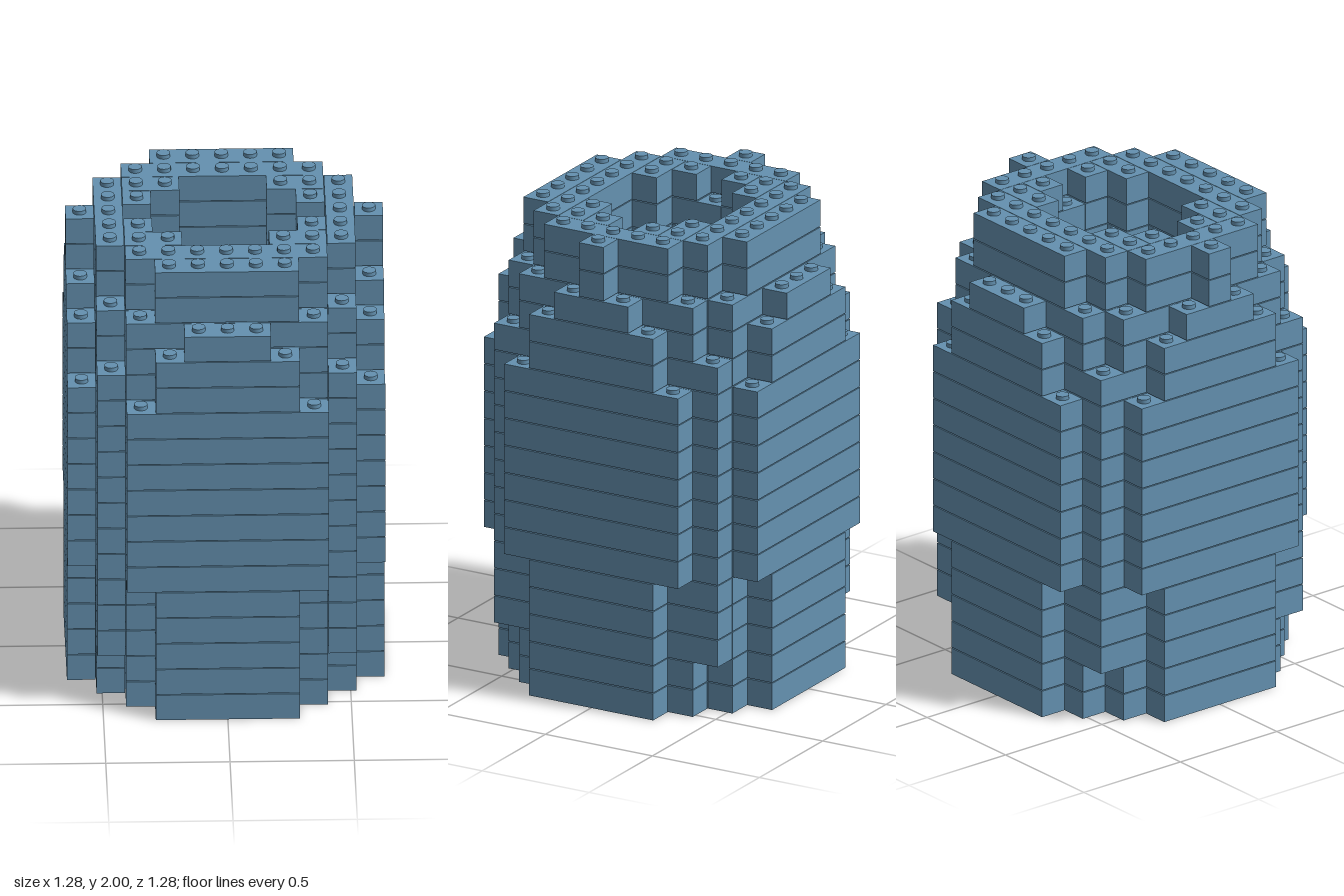
import * as THREE from 'three';
import { mergeGeometries } from 'three/addons/utils/BufferGeometryUtils.js';

const U = 1.28 / 11;      // one brick cell
const LAYERS = 17;
const H = 1.985 / LAYERS; // one course of bricks
const STUD = 0.015;
const R = 5;              // cells from centre to rim

// First and last+1 course of the outer wall at a cell, [0, 0] when outside
function span(i, j) {
  const a = Math.abs(i), b = Math.abs(j);
  const lo = Math.min(a, b), hi = Math.max(a, b);
  if (hi === 5) {
    if (lo === 0) return [0, a === 5 ? 17 : 15];
    return [[0, 0], [0, 15], [0, 14], [5, 12], [0, 0], [0, 0]][lo];
  }
  if (hi === 4) return lo === 4 ? [2, 13] : lo === 3 ? [0, 15] : [0, 17];
  return [0, 17];
}

// Hollow inside: wide belly above a solid floor, narrower neck
function hollow(i, j, k) {
  const a = Math.abs(i), b = Math.abs(j);
  if (k < 3) return false;
  if (k < 11) return a <= 3 && b <= 3 && a + b < 6;
  if (k === 16 && a === 3 && b === 0) return true;
  return a <= 2 && b <= 2 && a + b < 4;
}

function filled(i, j, k) {
  if (Math.abs(i) > R || Math.abs(j) > R || k >= LAYERS) return false;
  const [from, to] = span(i, j);
  return k >= from && k < to && !hollow(i, j, k);
}

// A brick covering cells i0..i1 and j0..j1
function brick(i0, i1, j0, j1, k) {
  const g = new THREE.BoxGeometry((i1 - i0 + 1) * U - 0.002, H - 0.004, (j1 - j0 + 1) * U - 0.002);
  return g.translate((i0 + i1) / 2 * U, (k + 0.5) * H, (j0 + j1) / 2 * U);
}

// Calls add(start, end) for every unbroken run of cells
function runs(min, max, test, add) {
  let start = null;
  for (let n = min; n <= max + 1; n++) {
    const on = n <= max && test(n);
    if (on && start === null) start = n;
    if (!on && start !== null) { add(start, n - 1); start = null; }
  }
}

export function createModel() {
  const group = new THREE.Group();
  const blue = new THREE.MeshStandardMaterial({ color: 0x6491b0 });
  blue.name = 'dusty blue';

  for (let k = 0; k < LAYERS; k++) {
    const bricks = [], studs = [];

    // Side bricks run front to back
    for (const i of [-5, -4, 4, 5]) {
      runs(-R, R, j => filled(i, j, k), (a, b) => bricks.push(brick(i, i, a, b, k)));
    }
    // The rest run left to right
    for (let j = -R; j <= R; j++) {
      runs(-3, 3, i => filled(i, j, k), (a, b) => bricks.push(brick(a, b, j, j, k)));
    }
    // Studs on every cell left open above
    for (let i = -R; i <= R; i++) {
      for (let j = -R; j <= R; j++) {
        if (!filled(i, j, k) || filled(i, j, k + 1)) continue;
        const g = new THREE.CylinderGeometry(0.027, 0.027, STUD + 0.004, 20);
        studs.push(g.translate(i * U, (k + 1) * H + STUD / 2 - 0.002, j * U));
      }
    }

    const course = new THREE.Mesh(mergeGeometries(bricks), blue);
    course.name = `brickCourse${k + 1}`;
    group.add(course);
    if (studs.length) {
      const caps = new THREE.Mesh(mergeGeometries(studs), blue);
      caps.name = `studs${k + 1}`;
      group.add(caps);
    }
  }
  return group;
}
